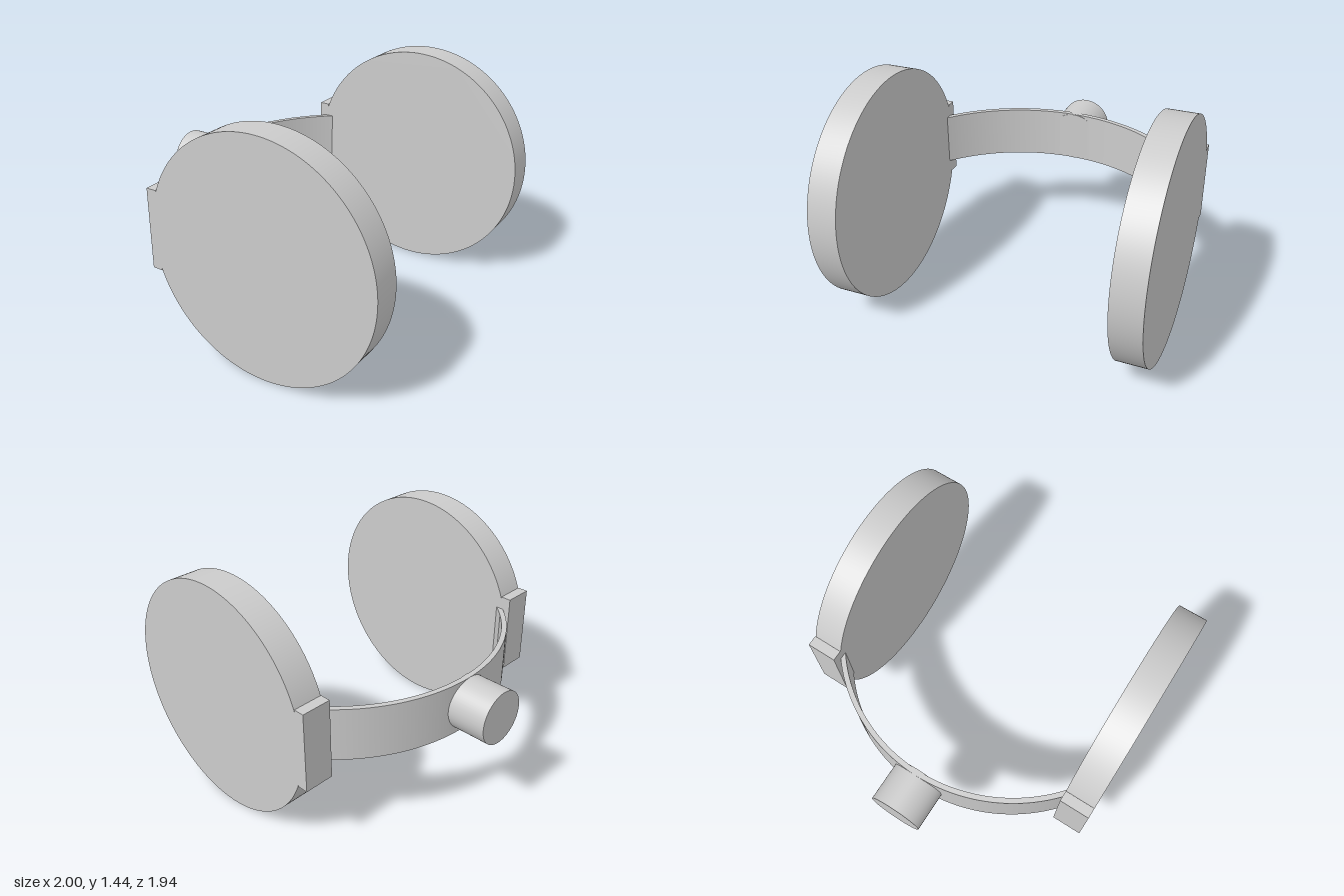
import * as THREE from 'three';
import { toCreasedNormals } from 'three/addons/utils/BufferGeometryUtils.js';

const material = new THREE.MeshStandardMaterial({ color: 0xcccccc });

function extrude(shape, depth) {
  const geometry = new THREE.ExtrudeGeometry(shape, { depth, bevelEnabled: false, curveSegments: 96 });
  return toCreasedNormals(geometry, 0.5);
}

function addMesh(parent, name, geometry) {
  const mesh = new THREE.Mesh(geometry, material);
  mesh.name = name;
  parent.add(mesh);
  return mesh;
}

export function createModel() {
  const model = new THREE.Group();
  const discX = 0.28, discY = 0.722, radius = 0.72;

  // Round plate with a rectangular tab on its -x edge
  const tabX = -0.68, tabHalf = 0.25;
  const angle = Math.acos(tabX / radius);
  const plate = new THREE.Shape();
  plate.moveTo(-0.745, -tabHalf);
  plate.lineTo(tabX, -tabHalf);
  plate.absarc(0, 0, radius, -angle, angle, false);
  plate.lineTo(tabX, tabHalf);
  plate.lineTo(-0.745, tabHalf);
  plate.closePath();
  const thickness = 0.185;
  const plateGeometry = extrude(plate, thickness).translate(0, 0, -thickness / 2);
  for (const [name, side] of [['frontDisc', 1], ['backDisc', -1]]) {
    addMesh(model, name, plateGeometry).position.set(discX, discY, side * 0.877);
  }

  // Thin curved band joining the plates
  const outer = 1.05, inner = 1.018, endZ = 0.788;
  const a = Math.asin(endZ / outer), b = Math.asin(endZ / inner);
  const band = new THREE.Shape();
  band.absarc(0, 0, outer, Math.PI - a, Math.PI + a, false);
  band.absarc(0, 0, inner, Math.PI + b, Math.PI - b, true);
  band.closePath();
  const bandGeometry = extrude(band, 0.33).rotateX(-Math.PI / 2);
  addMesh(model, 'curvedBand', bandGeometry).position.set(discX, 0.56, 0);

  // Short round peg through the middle of the band
  const peg = new THREE.CylinderGeometry(0.164, 0.164, 0.267, 64).rotateZ(Math.PI / 2);
  addMesh(model, 'peg', peg).position.set(-0.8665, 0.725, 0);

  return model;
}
